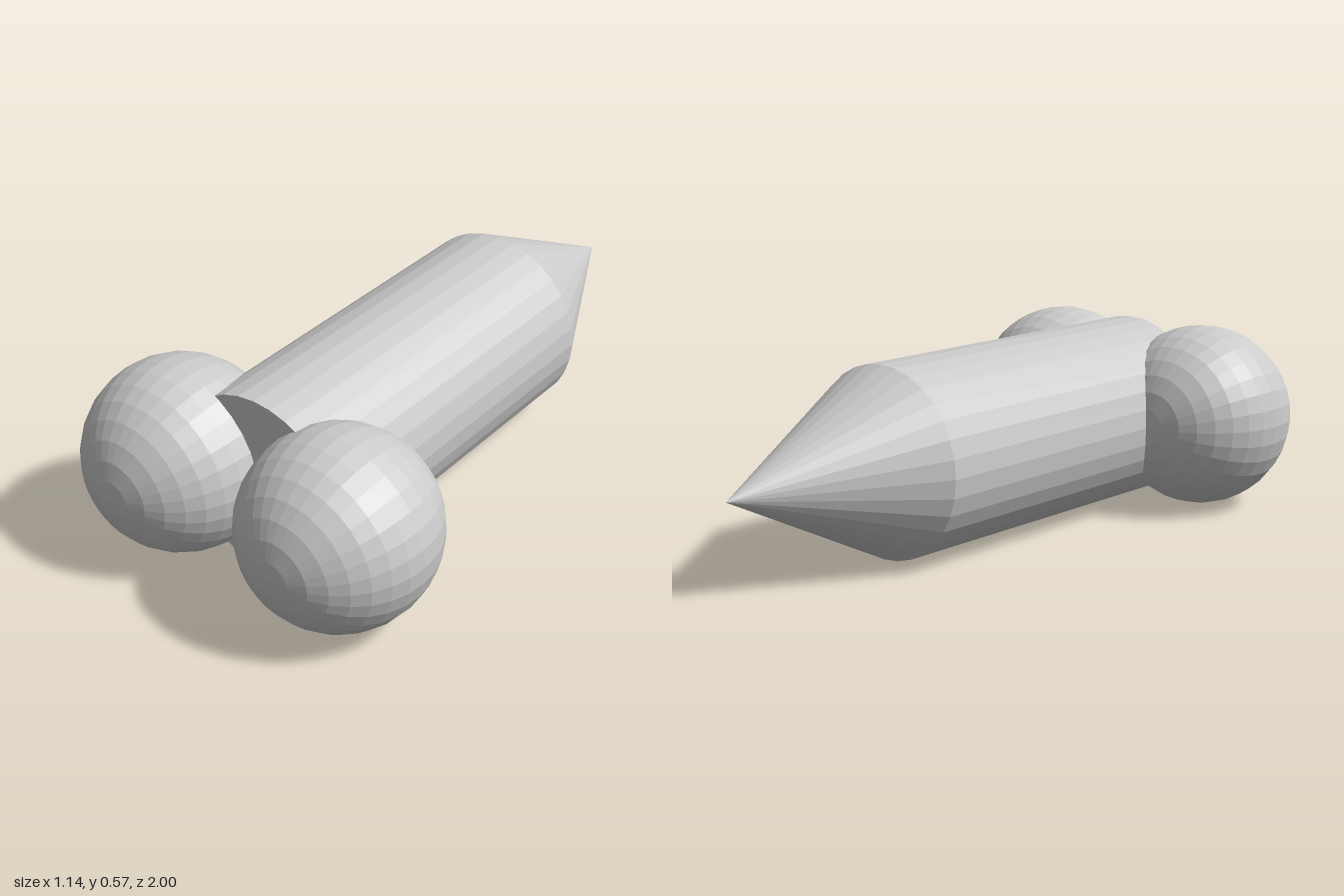
import * as THREE from 'three';

export function createModel() {
  const group = new THREE.Group();
  const material = new THREE.MeshStandardMaterial({ color: 0xcccccc, flatShading: true });
  const R = 2 / 7; // shared radius; the whole length is seven radii
  const SIDES = 32;

  // Each part is built along y, then laid down so its top points to the back (-z)
  const add = (name, geometry, x, z) => {
    geometry.rotateX(-Math.PI / 2);
    const mesh = new THREE.Mesh(geometry, material);
    mesh.name = name;
    mesh.position.set(x, R, z);
    group.add(mesh);
  };

  // Straight body with a pointed cone at the back
  add('body', new THREE.CylinderGeometry(R, R, 4 * R, SIDES), 0, 0.5 * R);
  add('noseCone', new THREE.ConeGeometry(R, 2 * R, SIDES), 0, -2.5 * R);

  // Pair of spheres beside the front end
  for (const [name, side] of [['leftSphere', 1], ['rightSphere', -1]]) {
    add(name, new THREE.SphereGeometry(R, SIDES, SIDES / 2), side * R, 2.5 * R);
  }

  return group;
}
